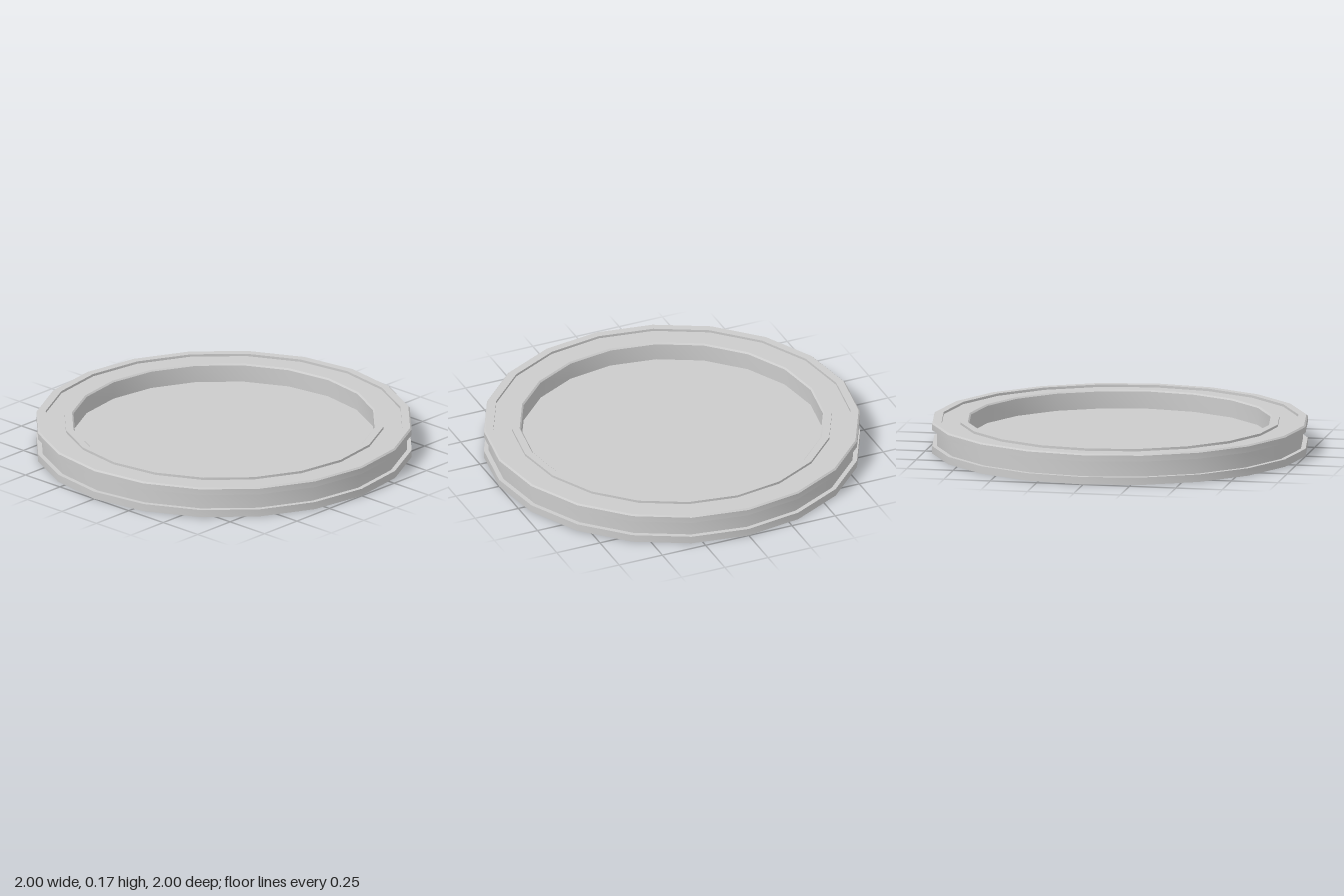
import * as THREE from 'three';
import { toCreasedNormals } from 'three/addons/utils/BufferGeometryUtils.js';

const SIDES = 20;

// Closed solid of revolution from [radius, height] pairs, with sharp profile edges
function turned(name, profile, material) {
  const points = profile.map(([r, y]) => new THREE.Vector2(r, y));
  const geometry = toCreasedNormals(new THREE.LatheGeometry(points, SIDES), Math.PI / 6);
  const mesh = new THREE.Mesh(geometry, material);
  mesh.name = name;
  return mesh;
}

export function createModel() {
  const group = new THREE.Group();
  group.name = 'roundTray';
  const material = new THREE.MeshStandardMaterial({ color: 0xcccccc });

  group.add(turned('trayBody', [
    // underside and lower flange
    [0, 0], [1, 0], [1, 0.04],
    // recessed band around the side
    [0.975, 0.04], [0.975, 0.125],
    // upper flange with a small bevel
    [1, 0.125], [1, 0.157], [0.992, 0.165],
    // shallow groove in the rim
    [0.95, 0.165], [0.95, 0.152], [0.85, 0.152], [0.85, 0.165],
    // bevelled inner lip, inner wall and floor
    [0.81, 0.165], [0.802, 0.157], [0.802, 0.065], [0, 0.065],
  ], material));

  return group;
}
